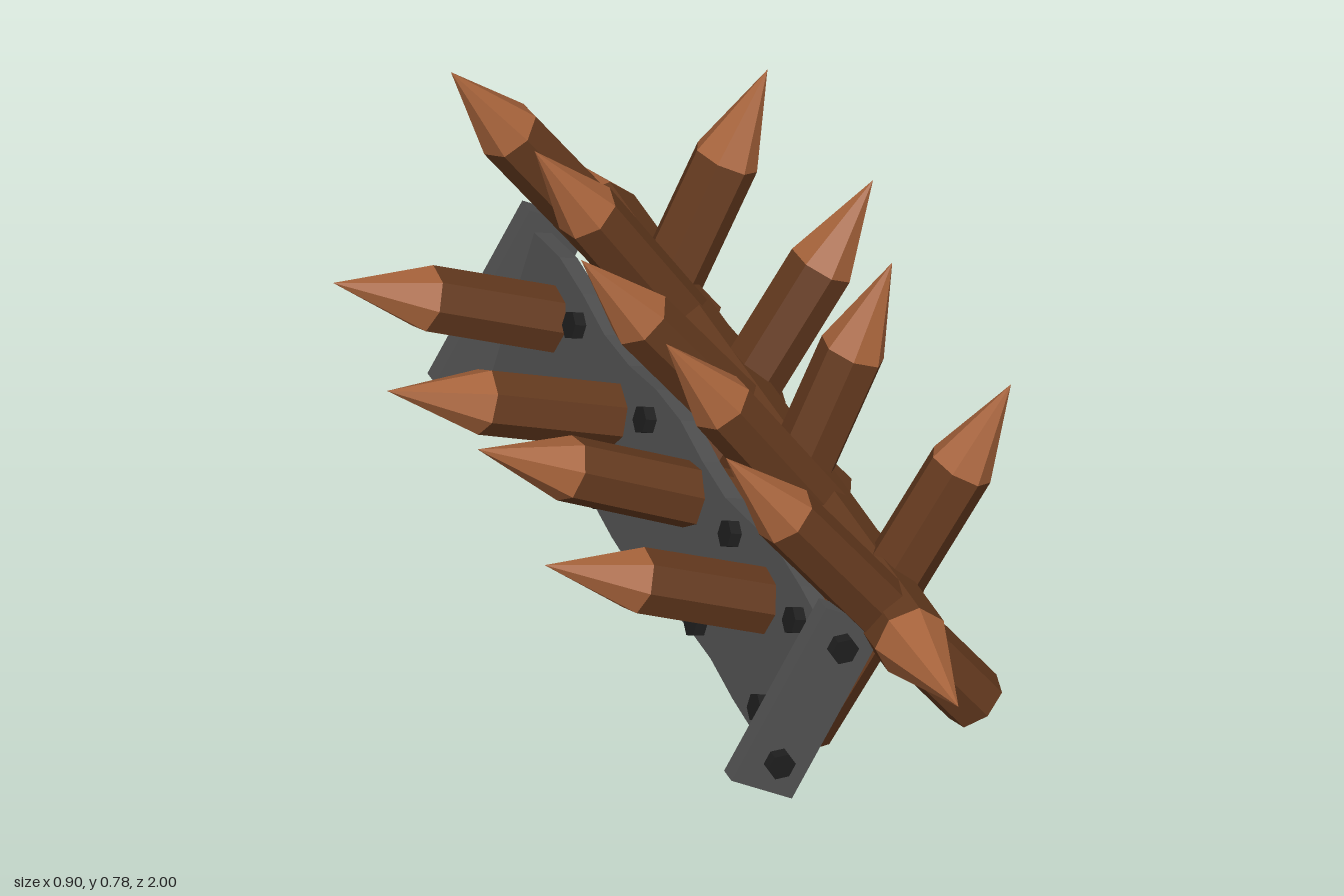
import * as THREE from 'three';

const mat = (color) => new THREE.MeshStandardMaterial({ color, flatShading: true });
const UP = new THREE.Vector3(0, 1, 0);

export function createModel() {
  const model = new THREE.Group();
  const bark = mat(0x63391e), cutWood = mat(0xa5623a), iron = mat(0x505050), boltIron = mat(0x1e1e1e);

  const add = (parent, name, geometry, material) => {
    const mesh = new THREE.Mesh(geometry, material);
    mesh.name = name;
    parent.add(mesh);
    return mesh;
  };

  // Seven-sided log from base to tip, sharpened at the tip (and at the base if asked)
  function stake(name, base, tip, radius, tipLength, spin, bothEnds = false) {
    const group = new THREE.Group();
    group.name = name;
    const from = new THREE.Vector3(...base);
    const along = new THREE.Vector3(...tip).sub(from);
    const length = along.length();
    const start = bothEnds ? tipLength : 0;
    const bodyLength = length - tipLength - start;
    const body = new THREE.CylinderGeometry(radius, radius, bodyLength, 7, 1, true);
    add(group, 'shaft', body.translate(0, start + bodyLength / 2, 0), bark);
    const point = () => new THREE.ConeGeometry(radius, tipLength, 7, 1, true);
    add(group, 'point', point().translate(0, length - tipLength / 2, 0), cutWood);
    if (bothEnds) {
      // turning about z mirrors the ring, so a half step realigns it with the shaft
      add(group, 'point', point().rotateZ(Math.PI).translate(0, tipLength / 2, 0), cutWood);
    } else {
      add(group, 'cutEnd', new THREE.CircleGeometry(radius, 7, Math.PI / 2).rotateX(Math.PI / 2), cutWood);
    }
    group.position.copy(from);
    group.quaternion.setFromUnitVectors(UP, along.normalize());
    group.quaternion.multiply(new THREE.Quaternion().setFromAxisAngle(UP, spin));
    model.add(group);
  }

  // Horizontal beam
  stake('beam', [0.17, 0.322, -1], [0.15, 0.325, 1], 0.07, 0.235, 0.2, true);

  // Steep stakes leaning towards -x: [base z, tip x, tip y, tip z]
  [[0.68, -0.17, 0.74, 0.67], [0.31, -0.145, 0.77, 0.32], [-0.04, -0.165, 0.74, -0.04],
    [-0.37, -0.13, 0.78, -0.35], [-0.68, -0.16, 0.76, -0.68]].forEach(([z, x, y, tz], i) =>
    stake('steepStake', [0.312, 0.11, z], [x, y, tz], 0.06, 0.19, i * 0.3));

  // Stakes leaning towards +x
  [[0.55, 0.42, 0.705, 0.585], [0.2, 0.347, 0.75, 0.193], [-0.15, 0.447, 0.7, -0.147],
    [-0.46, 0.388, 0.735, -0.51]].forEach(([z, x, y, tz], i) =>
    stake('leaningStake', [0.022, 0.042, z], [x, y, tz], 0.062, 0.185, 0.2 + i * 0.3));

  // Low stakes pointing out towards -x
  [[0.44, -0.43, 0.435, 0.44], [0.085, -0.415, 0.465, 0.08], [-0.265, -0.45, 0.39, -0.27],
    [-0.57, -0.43, 0.432, -0.58]].forEach(([z, x, y, tz], i) =>
    stake('lowStake', [0.292, 0.13, z], [x, y, tz], 0.062, 0.195, 0.1 + i * 0.3));

  // Six-sided bolt head, its axis along local z
  const bolt = (parent, x, y, z) =>
    add(parent, 'bolt', new THREE.CylinderGeometry(0.027, 0.027, 0.04, 6).rotateX(Math.PI / 2), boltIron)
      .position.set(x, y, z);

  // End brackets, bolted on their outer faces
  [[0.69, 1], [-0.74, -1]].forEach(([z, side]) => {
    const bracket = new THREE.Group();
    bracket.name = 'endBracket';
    add(bracket, 'plate', new THREE.BoxGeometry(0.135, 0.375, 0.036), iron);
    for (const y of [-0.125, 0.125]) bolt(bracket, 0, y, side * 0.02);
    bracket.position.set(-0.023, 0.2, z);
    bracket.rotation.z = -0.515;
    model.add(bracket);
  });

  // Long plate with rough wavy edges; local x runs along the model's z
  const plank = new THREE.Group();
  plank.name = 'sidePlate';
  const outline = [];
  const steps = 12, half = 0.7;
  for (let i = 0; i <= steps; i++) {
    outline.push(new THREE.Vector2(-half + (2 * half * i) / steps, -0.145 + 0.014 * Math.sin(i * 1.25 + 3.6)));
  }
  for (let i = steps; i >= 0; i--) {
    outline.push(new THREE.Vector2(-half + (2 * half * i) / steps, 0.148 + 0.014 * Math.sin(i * 1.4)));
  }
  const plate = new THREE.ExtrudeGeometry(new THREE.Shape(outline), { depth: 0.036, bevelEnabled: false });
  add(plank, 'plate', plate.translate(0, 0, -0.018), iron);
  [-0.47, -0.13, 0.28, 0.59].forEach((z) => bolt(plank, z + 0.025, 0.1, 0.02));
  [-0.56, -0.2, 0.255, 0.56].forEach((z) => bolt(plank, z + 0.025, -0.1, 0.02));
  plank.rotation.set(0, -Math.PI / 2, -0.285, 'ZYX');
  plank.position.set(-0.005, 0.2, -0.025);
  model.add(plank);

  return model;
}
